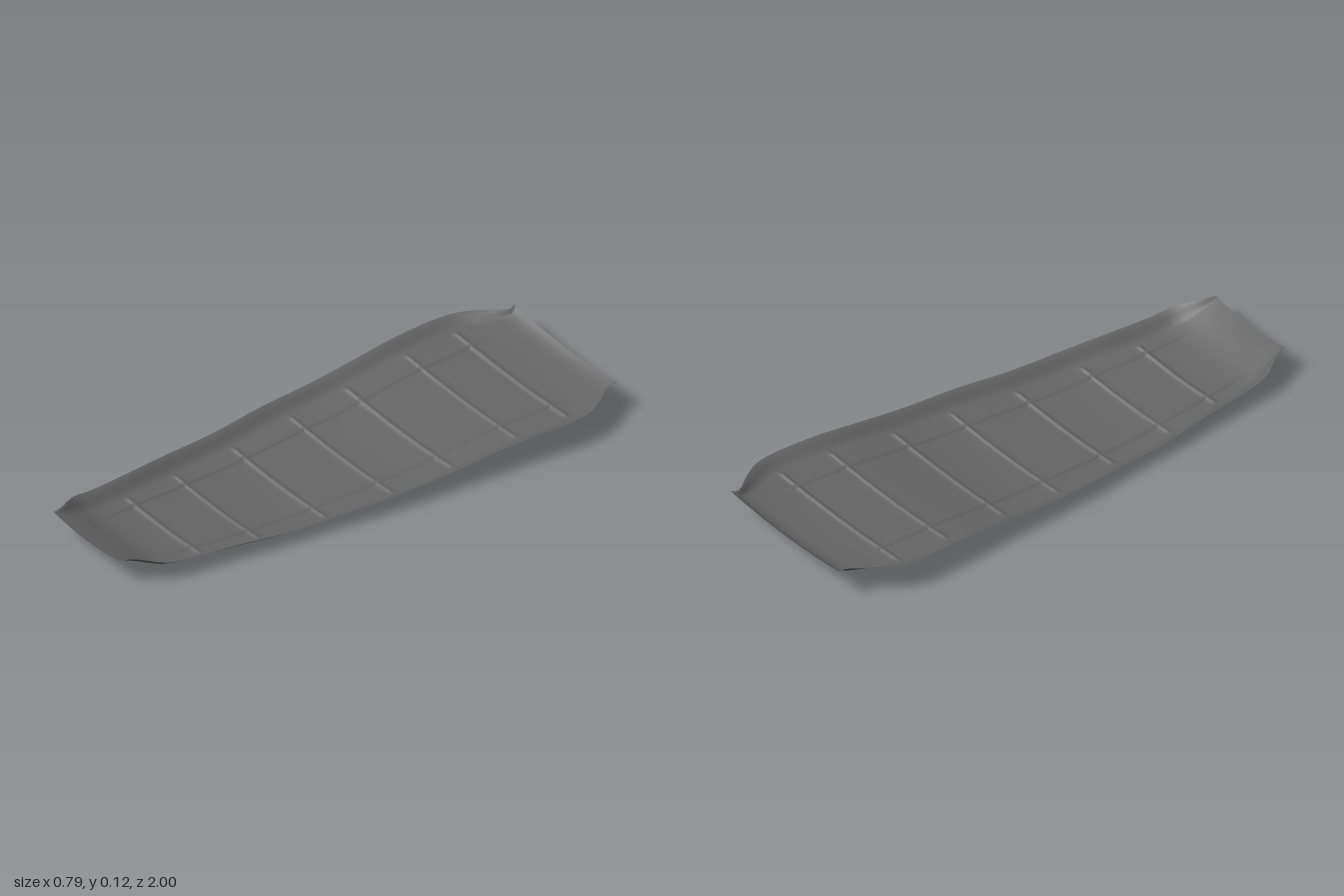
import * as THREE from 'three';

// Smooth cubic interpolation through [z, value] pairs
function profile(points) {
  const slope = (i) => {
    const a = points[Math.max(i - 1, 0)], b = points[Math.min(i + 1, points.length - 1)];
    return (b[1] - a[1]) / (b[0] - a[0]);
  };
  return (z) => {
    let i = 0;
    while (i < points.length - 2 && z > points[i + 1][0]) i++;
    const [z0, v0] = points[i], [z1, v1] = points[i + 1];
    const d = z1 - z0, t = (z - z0) / d, t2 = t * t, t3 = t2 * t;
    return (2 * t3 - 3 * t2 + 1) * v0 + (t3 - 2 * t2 + t) * d * slope(i)
      + (3 * t2 - 2 * t3) * v1 + (t3 - t2) * d * slope(i + 1);
  };
}

// Half width of the outline, centre height, height of the side lip, and side rib position along z
const halfWidth = profile([[-1, 0.3], [-0.97, 0.29], [-0.94, 0.31], [-0.9, 0.34], [-0.85, 0.37],
  [-0.8, 0.388], [-0.7, 0.395], [-0.4, 0.376], [0, 0.358], [0.2, 0.335], [0.42, 0.315],
  [0.6, 0.29], [0.8, 0.266], [0.86, 0.258], [0.91, 0.232], [0.96, 0.2], [1, 0.19]]);
const centreY = profile([[-1, 0.1], [-0.975, 0.084], [-0.95, 0.077], [-0.8, 0.068], [-0.55, 0.06],
  [-0.4, 0.046], [-0.2, 0.024], [0, 0.014], [0.3, 0.002], [0.6, 0.012], [0.78, 0.02],
  [0.85, 0.033], [0.94, 0.066], [1, 0.085]]);
const lipHeight = profile([[-1, 0.001], [-0.96, 0.018], [-0.9, 0.022], [-0.75, 0.024], [-0.5, 0.027],
  [0.3, 0.033], [0.8, 0.03], [0.94, 0.016], [1, 0.001]]);
const ribX = profile([[-1, 0.235], [-0.8, 0.23], [0, 0.203], [0.4, 0.182], [0.8, 0.155], [1, 0.14]]);

const crossRibs = [-0.77, -0.56, -0.3, -0.06, 0.2, 0.46, 0.68];
const ribOffsets = [-0.013, -0.007, 0, 0.007, 0.013];
const RIB = 0.008;
const bump = (d) => (Math.abs(d) < 0.013 ? 0.5 + 0.5 * Math.cos(Math.PI * d / 0.013) : 0);
const lip = [[0.15, 0.06], [0.35, 0.25], [0.55, 0.55], [0.72, 0.8], [0.87, 0.94], [1, 1]];

// Surface points of one half section, from the centre line to the rim
function halfSection(z) {
  const w = halfWidth(z), rx = ribX(z);
  const inset = 0.06 * THREE.MathUtils.clamp((1 - Math.abs(z)) / 0.12, 0.3, 1);
  const edge = w - inset;
  const outer = Math.max(edge, rx + 0.014);
  const xs = [0, 0.25, 0.5, 0.75].map((f) => [f * (rx - 0.013), 0]);
  ribOffsets.forEach((o) => xs.push([rx + o, 0]));
  [0.25, 0.5, 0.7, 0.85, 1].forEach((f) => xs.push([THREE.MathUtils.lerp(rx + 0.013, outer, f), 0]));
  lip.forEach(([f, h]) => xs.push([THREE.MathUtils.lerp(outer, w, f), h]));

  // Raised ribs fade out at their ends
  const longFade = 1 - THREE.MathUtils.smoothstep(Math.abs(z), 0.79, 0.82);
  const cross = Math.max(...crossRibs.map((r) => bump(z - r)));
  return xs.map(([x, h]) => {
    const crossFade = 1 - THREE.MathUtils.smoothstep(x, w - 0.085, w - 0.06);
    const rib = Math.max(bump(x - rx) * longFade, cross * crossFade);
    return [x, centreY(z) + 0.016 * (x / w) ** 2 + lipHeight(z) * h + RIB * rib];
  });
}

function shellGeometry() {
  // Even rows, with finer ones across each rib
  const rows = crossRibs.flatMap((r) => ribOffsets.map((o) => r + o));
  for (let i = 0; i <= 80; i++) {
    const z = -1 + i / 40;
    if (crossRibs.every((r) => Math.abs(z - r) > 0.016)) rows.push(z);
  }
  rows.push(-0.988, 0.988);
  rows.sort((a, b) => a - b);

  const position = [], index = [];
  let columns = 0;
  rows.forEach((z, r) => {
    const half = halfSection(z);
    const section = [...half.slice(1).reverse().map(([x, y]) => [-x, y]), ...half];
    columns = section.length;
    section.forEach(([x, y]) => position.push(x, y, z));
    if (r === 0) return;
    for (let c = 0; c < columns - 1; c++) {
      const a = (r - 1) * columns + c, b = a + columns;
      index.push(a, b, a + 1, a + 1, b, b + 1);
    }
  });
  const geometry = new THREE.BufferGeometry();
  geometry.setAttribute('position', new THREE.Float32BufferAttribute(position, 3));
  geometry.setIndex(index);
  geometry.computeVertexNormals();
  return geometry;
}

export function createModel() {
  const group = new THREE.Group();
  group.name = 'ribbedTray';
  const grey = new THREE.MeshStandardMaterial({ color: 0x666666, side: THREE.DoubleSide });
  grey.name = 'darkGrey';
  const shell = new THREE.Mesh(shellGeometry(), grey);
  shell.name = 'trayShell';
  group.add(shell);
  return group;
}
